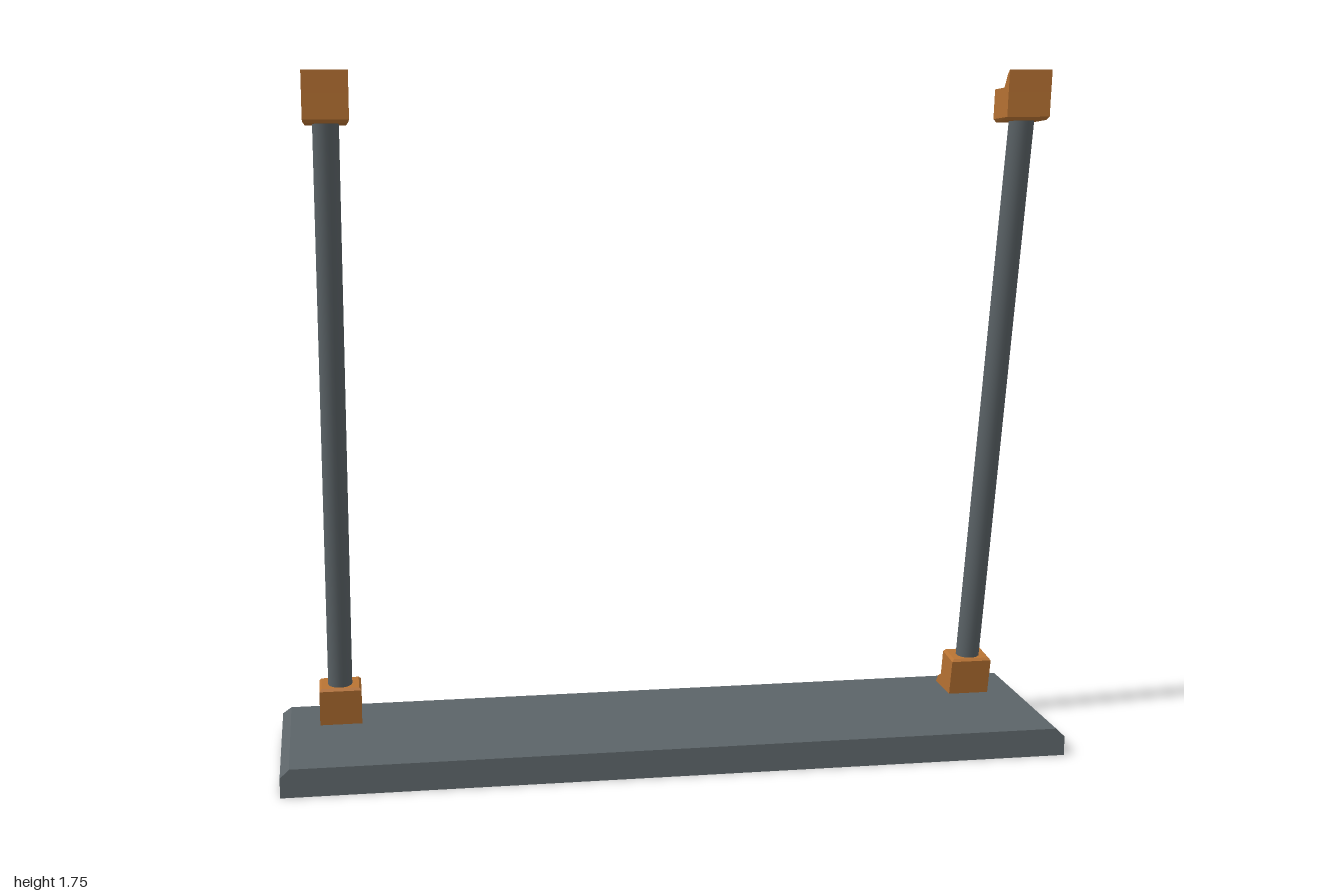
import * as THREE from 'three';
import { ConvexGeometry } from 'three/addons/geometries/ConvexGeometry.js';

const steel = new THREE.MeshStandardMaterial({ color: 0x5c6468 });
const copper = new THREE.MeshStandardMaterial({ color: 0xb87333 });

// Convex block from rows of [half width, zBack, yBack, zFront, yFront]
function block(name, rows, material) {
  const pts = [];
  for (const [w, zb, yb, zf, yf] of rows)
    for (const s of [-1, 1])
      pts.push(new THREE.Vector3(s * w, yb, zb), new THREE.Vector3(s * w, yf, zf));
  const mesh = new THREE.Mesh(new ConvexGeometry(pts), material);
  mesh.name = name;
  return mesh;
}

// Side profile of [z, y] points extruded across x
function lip(name, profile, width) {
  const shape = new THREE.Shape(profile.map(([z, y]) => new THREE.Vector2(-z, y)));
  const geo = new THREE.ExtrudeGeometry(shape, { depth: width, bevelEnabled: false });
  geo.translate(0, 0, -width / 2).rotateY(Math.PI / 2);
  const mesh = new THREE.Mesh(geo, copper);
  mesh.name = name;
  return mesh;
}

function rod(name, from, to, radius) {
  const dir = to.clone().sub(from);
  const mesh = new THREE.Mesh(new THREE.CylinderGeometry(radius, radius, dir.length(), 24), steel);
  mesh.position.copy(from).add(to).multiplyScalar(0.5);
  mesh.quaternion.setFromUnitVectors(new THREE.Vector3(0, 1, 0), dir.normalize());
  mesh.name = name;
  return mesh;
}

// One leaning post with a foot bracket and a head bracket
function post(name, x) {
  const g = new THREE.Group();
  g.name = name;
  const hw = 0.054;
  g.add(rod('rod', new THREE.Vector3(0, 0.11, -0.125), new THREE.Vector3(0, 1.66, 0.225), 0.031));

  // Foot bracket: slanted socket with chamfered rim and a sloping toe
  g.add(block('footSocket', [
    [hw, -0.18, 0.07, -0.093, 0.07],
    [hw, -0.156, 0.175, -0.069, 0.168],
    [hw - 0.006, -0.151, 0.181, -0.074, 0.175],
  ], copper));
  g.add(lip('footToe',
    [[-0.16, 0.07], [-0.16, 0.107], [-0.173, 0.105], [-0.197, 0.094], [-0.214, 0.075], [-0.214, 0.07]], hw * 2));

  // Head bracket: socket chamfered underneath, with a raised front lip
  g.add(block('headSocket', [
    [hw - 0.006, 0.168, 0.624, 0.262, 0.632],
    [hw, 0.163, 0.632, 0.27, 0.64],
    [hw, 0.171, 0.705, 0.276, 0.713],
  ].map(([w, zb, yb, zf, yf]) => [w, zb, yb + 1, zf, yf + 1]), copper));
  g.add(lip('headLip',
    [[0.276, 1.7], [0.245, 1.7], [0.244, 1.712], [0.266, 1.742], [0.281, 1.754]], hw * 2));

  g.position.x = x;
  return g;
}

export function createModel() {
  const model = new THREE.Group();
  model.name = 'stand';

  // Base plate, chamfered along the back and both ends
  model.add(block('basePlate', [
    [1, -0.283, 0, 0.246, 0],
    [1, -0.283, 0.05, 0.246, 0.05],
    [0.977, -0.263, 0.072, 0.246, 0.072],
  ], steel));

  model.add(post('leftPost', 0.847), post('rightPost', -0.847));
  return model;
}
